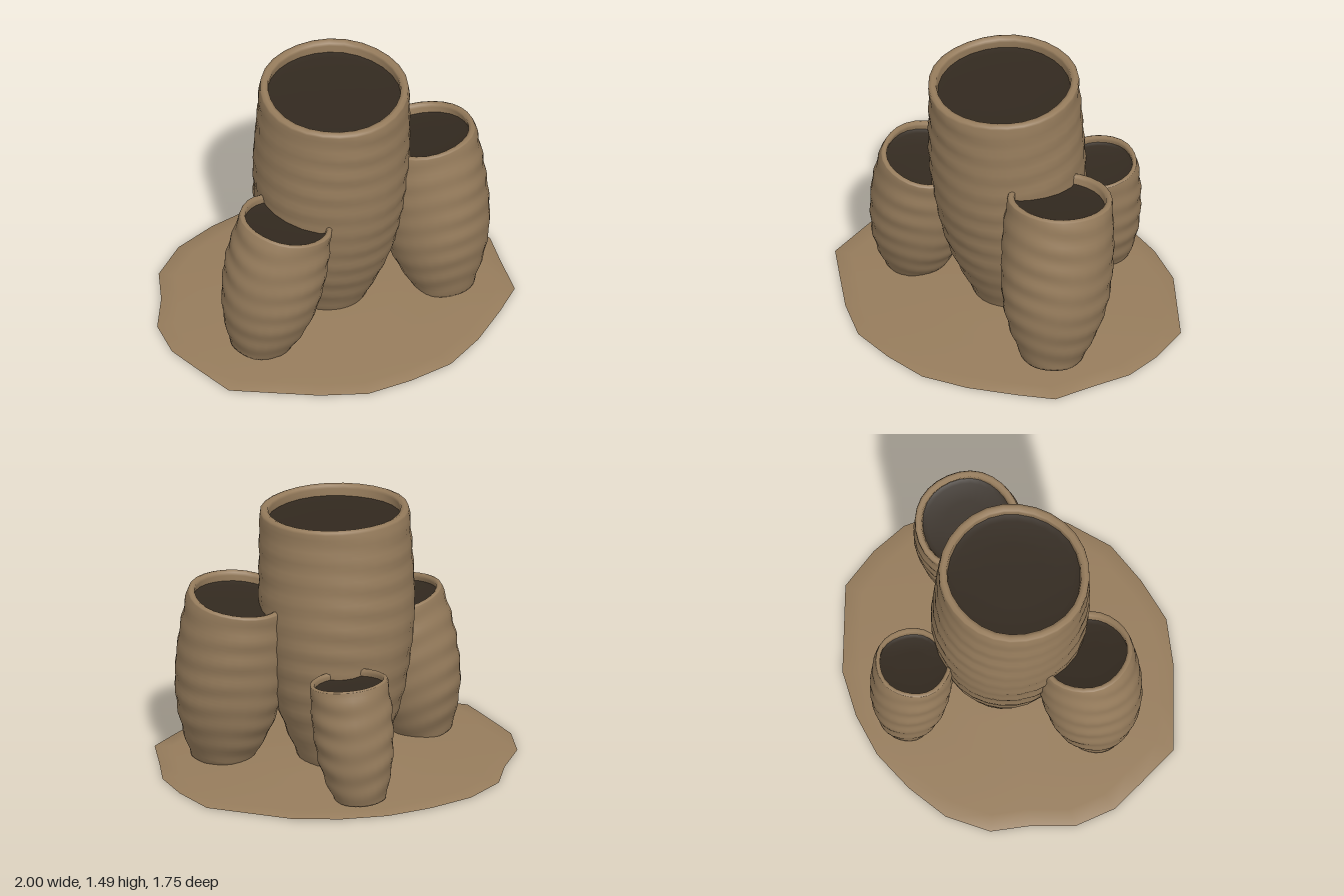
import * as THREE from 'three';
import { mergeVertices } from 'three/addons/utils/BufferGeometryUtils.js';

const SEGMENTS = 28;

// Lathe rippled by a rule, leaned by a rotation and cut level where it stands on the slab
function rippledLathe(points, amount, phase, lean, floor) {
  const lathe = new THREE.LatheGeometry(points, SEGMENTS);
  lathe.deleteAttribute('normal');
  lathe.deleteAttribute('uv');
  const p = lathe.attributes.position;
  const v = new THREE.Vector3();
  for (let i = 0; i < p.count; i++) {
    v.fromBufferAttribute(p, i);
    const r = Math.hypot(v.x, v.z);
    if (r > 1e-4) {
      const a = Math.atan2(v.z, v.x);
      const wave = Math.sin(v.y * 46 + phase + 1.2 * Math.sin(2 * a + phase))
        * (0.75 + 0.25 * Math.sin(3 * a + v.y * 7)) + 0.4 * Math.sin(5 * a + v.y * 9 + phase);
      const s = 1 + amount * wave / r;
      v.x *= s;
      v.z *= s;
    }
    v.applyQuaternion(lean);
    v.y = Math.max(v.y, floor);
    p.setXYZ(i, v.x, v.y, v.z);
  }
  const geometry = mergeVertices(lathe, 1e-4);
  geometry.computeVertexNormals();
  return geometry;
}

// Leaning pot: base and top are the ends of its axis, radii run evenly up the wall
function makePot(name, base, top, radii, wall, lipDepth, phase, clay, shade) {
  const from = new THREE.Vector3(...base);
  const axis = new THREE.Vector3(...top).sub(from);
  const h = axis.length();
  const lean = new THREE.Quaternion().setFromUnitVectors(new THREE.Vector3(0, 1, 0), axis.normalize());
  const n = radii.length - 1;
  const curve = new THREE.SplineCurve(radii.map((r, i) => new THREE.Vector2(r, h * i / n)));
  const rim = radii[n];
  const level = h - lipDepth;

  // Outer wall, rounded lip and the light band inside the lip
  const shell = [new THREE.Vector2(0, 0), ...curve.getPoints(44).slice(0, -1),
    new THREE.Vector2(rim, h - 0.008),
    new THREE.Vector2(rim - wall * 0.4, h),
    new THREE.Vector2(rim - wall * 0.9, h - 0.008),
    new THREE.Vector2(rim - wall, h - 0.025),
    new THREE.Vector2(rim - wall, level)];

  // Dark, slightly dished filling that closes the mouth below the lip
  const filling = [new THREE.Vector2(rim - wall, level),
    new THREE.Vector2((rim - wall) * 0.9, level - 0.008),
    new THREE.Vector2((rim - wall) * 0.5, level - 0.012),
    new THREE.Vector2(0, level - 0.012)];

  const pot = new THREE.Group();
  pot.name = name;
  const body = new THREE.Mesh(rippledLathe(shell, 0.0045, phase, lean, 0.012), clay);
  body.name = name + 'Wall';
  const inside = new THREE.Mesh(rippledLathe(filling, 0.0045, phase, lean, 0.012), shade);
  inside.name = name + 'Inside';
  pot.add(body, inside);
  pot.position.copy(from);
  return pot;
}

// Low domed slab with an uneven, hand-cut outline
function makeSlab(clay) {
  const outline = [
    [0, -0.88], [0.25, -0.845], [0.5, -0.76], [0.7, -0.61], [0.9, -0.46], [0.975, -0.22],
    [1, 0], [0.95, 0.2], [0.895, 0.45], [0.73, 0.58], [0.5, 0.74], [0.26, 0.855],
    [0, 0.875], [-0.26, 0.86], [-0.5, 0.74], [-0.7, 0.6], [-0.905, 0.455], [-0.96, 0.2],
    [-1, 0], [-0.96, -0.23], [-0.82, -0.43], [-0.72, -0.63], [-0.51, -0.78], [-0.26, -0.85]];
  // Rings as [scale, height], from the underside round the edge to the middle
  const rings = [[0, 0], [0.93, 0], [0.93, 0], [1, 0.002], [0.9, 0.01],
    [0.75, 0.02], [0.6, 0.027], [0.4, 0.037], [0.25, 0.045], [0, 0.047]];
  const n = outline.length, positions = [], index = [];
  for (const [s, y] of rings) for (const [x, z] of outline) positions.push(x * s, y, z * s);
  for (let r = 0; r < rings.length - 1; r++) {
    if (r === 1) continue; // crease between the flat foot and the edge
    for (let i = 0; i < n; i++) {
      const j = (i + 1) % n;
      const a = r * n + i, b = r * n + j, c = (r + 1) * n + j, d = (r + 1) * n + i;
      if (rings[r][0] > 0) index.push(a, d, b);
      if (rings[r + 1][0] > 0) index.push(b, d, c);
    }
  }
  const geometry = new THREE.BufferGeometry();
  geometry.setAttribute('position', new THREE.Float32BufferAttribute(positions, 3));
  geometry.setIndex(index);
  geometry.computeVertexNormals();
  const slab = new THREE.Mesh(geometry, clay);
  slab.name = 'baseSlab';
  return slab;
}

export function createModel() {
  const clay = new THREE.MeshStandardMaterial({ color: 0x967c5c });
  clay.name = 'clay';
  clay.side = THREE.DoubleSide;
  const shade = new THREE.MeshStandardMaterial({ color: 0x32291f });
  shade.name = 'darkInside';
  shade.side = THREE.DoubleSide;

  const model = new THREE.Group();
  model.name = 'potCluster';
  model.add(
    makeSlab(clay),
    makePot('tallPot', [0, 0.012, -0.052], [0, 1.462, 0.035],
      [0.212, 0.287, 0.35, 0.39, 0.417, 0.427, 0.424, 0.417, 0.408], 0.045, 0.065, 0, clay, shade),
    makePot('leftPot', [0.593, 0.008, 0.207], [0.53, 1.0, 0.088],
      [0.165, 0.235, 0.283, 0.302, 0.306, 0.3, 0.282], 0.036, 0.055, 1.3, clay, shade),
    makePot('rightPot', [-0.563, 0.008, 0.19], [-0.41, 0.832, 0.222],
      [0.155, 0.217, 0.258, 0.276, 0.28, 0.27, 0.252], 0.03, 0.045, 2.6, clay, shade),
    makePot('backPot', [0.075, 0.008, -0.63], [0.12, 0.69, -0.555],
      [0.138, 0.175, 0.202, 0.215, 0.221, 0.219, 0.21], 0.025, 0.04, 4, clay, shade));
  return model;
}
